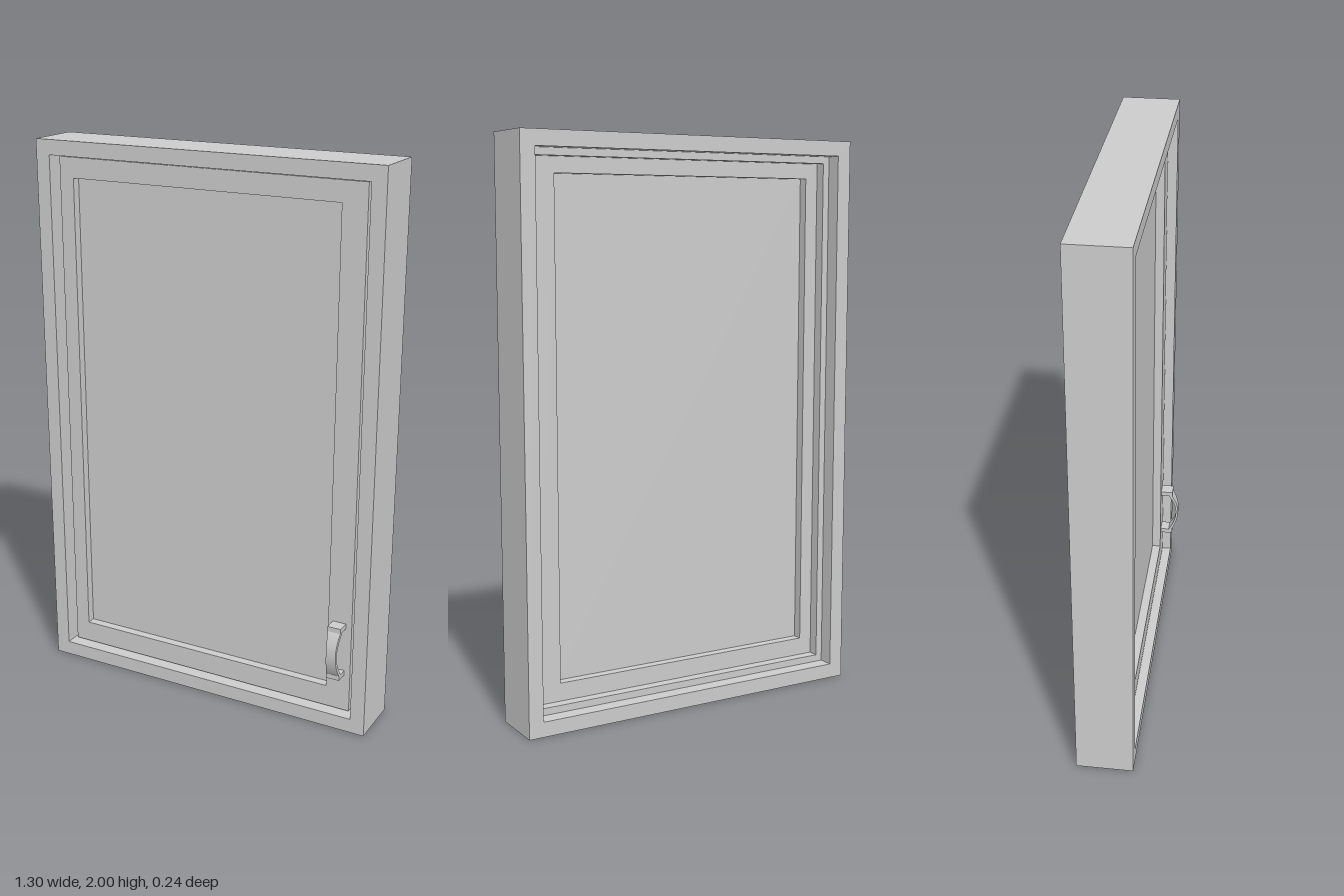
import * as THREE from 'three';

const grey = new THREE.MeshStandardMaterial({ color: 0xcccccc });

function addMesh(parent, name, geometry) {
  const mesh = new THREE.Mesh(geometry, grey);
  mesh.name = name;
  parent.add(mesh);
  return mesh;
}

function rectPoints([x0, x1, y0, y1]) {
  return [[x0, y0], [x1, y0], [x1, y1], [x0, y1]].map(([x, y]) => new THREE.Vector2(x, y));
}

// Rectangular ring between two [x0, x1, y0, y1] outlines, from z0 to z1
function ring(outer, inner, z0, z1) {
  const shape = new THREE.Shape(rectPoints(outer));
  shape.holes.push(new THREE.Path(rectPoints(inner).reverse()));
  return new THREE.ExtrudeGeometry(shape, { depth: z1 - z0, bevelEnabled: false }).translate(0, 0, z0);
}

function box([x0, x1, y0, y1], z0, z1) {
  return new THREE.BoxGeometry(x1 - x0, y1 - y0, z1 - z0)
    .translate((x0 + x1) / 2, (y0 + y1) / 2, (z0 + z1) / 2);
}

export function createModel() {
  const model = new THREE.Group();
  model.name = 'window';

  const opening = [-0.597, 0.597, 0.053, 1.947];
  const stopOpening = [-0.572, 0.572, 0.078, 1.922];
  const sashEdge = [-0.577, 0.577, 0.063, 1.94];
  const paneOpening = [-0.522, 0.488, 0.142, 1.868];
  const sashFront = 0.05;

  // Fixed frame with a stop that the sash closes against
  addMesh(model, 'outerFrame', ring([-0.65, 0.65, 0, 2], opening, -0.12, 0.083));
  addMesh(model, 'frameStop', ring(opening, stopOpening, -0.065, -0.027));

  // Opening sash and its pane
  addMesh(model, 'sash', ring(sashEdge, paneOpening, -0.027, sashFront));
  addMesh(model, 'pane', box(paneOpening, 0.007, 0.018));

  // Pull handle: bowed strap, narrower toward its middle, on two feet
  const handle = new THREE.Group();
  handle.name = 'handle';
  handle.position.set(0.53, 0.304, 0);
  model.add(handle);

  const bow = (half, peak, rise) => Array.from({ length: 17 }, (_, i) => {
    const t = i / 8 - 1;
    return new THREE.Vector2(peak - rise * t * t, half * t);
  });
  const profile = [...bow(0.094, 0.119, 0.031), ...bow(0.087, 0.111, 0.031).reverse()];
  const strap = new THREE.ExtrudeGeometry(new THREE.Shape(profile), { depth: 0.05, bevelEnabled: false })
    .translate(0, 0, -0.025)
    .rotateY(-Math.PI / 2);
  const p = strap.attributes.position;
  for (let i = 0; i < p.count; i++) {
    const t = THREE.MathUtils.clamp((p.getZ(i) - 0.09) / 0.029, 0, 1);
    p.setX(i, p.getX(i) * (1 - 0.28 * t));
  }
  strap.computeVertexNormals();
  addMesh(handle, 'handleStrap', strap);

  for (const [name, y] of [['lowerFoot', -0.092], ['upperFoot', 0.092]]) {
    addMesh(handle, name, box([-0.025, 0.025, y - 0.009, y + 0.009], sashFront, 0.096));
  }

  return model;
}
